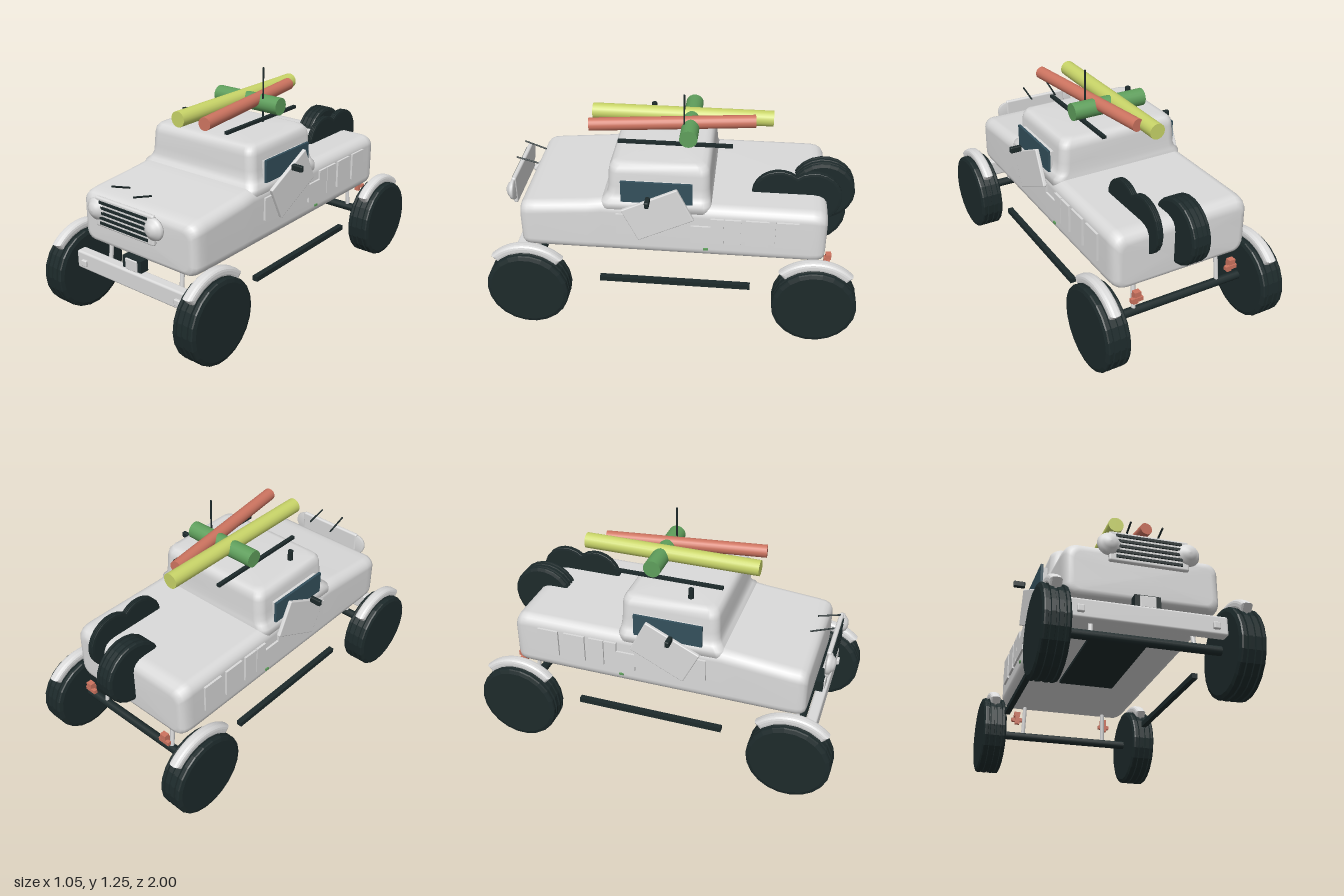
import * as THREE from 'three';
import { RoundedBoxGeometry } from 'three/addons/geometries/RoundedBoxGeometry.js';

const mat = (name, color) => {
  const m = new THREE.MeshStandardMaterial({ color });
  m.name = name;
  return m;
};

// Smooth loft of rounded rectangles stacked along z; section = [z, halfWidth, low, high, cornerRadius]
function loft(sections) {
  const pos = [], idx = [], steps = 6, n = 4 * (steps + 1);
  for (const [t, hw, lo, hi, r] of sections) {
    const corners = [[hw - r, hi - r], [-hw + r, hi - r], [-hw + r, lo + r], [hw - r, lo + r]];
    corners.forEach(([cx, cy], c) => {
      for (let k = 0; k <= steps; k++) {
        const a = (c + k / steps) * Math.PI / 2;
        pos.push(cx + r * Math.cos(a), cy + r * Math.sin(a), t);
      }
    });
  }
  const last = sections.length - 1;
  for (let i = 0; i < last; i++) for (let j = 0; j < n; j++) {
    const a = i * n + j, b = i * n + (j + 1) % n;
    idx.push(a, b, b + n, a, b + n, a + n);
  }
  for (const i of [0, last]) {
    const [t, , lo, hi] = sections[i], centre = pos.length / 3;
    pos.push(0, (lo + hi) / 2, t);
    for (let j = 0; j < n; j++) {
      const a = i * n + j, b = i * n + (j + 1) % n;
      if (i) idx.push(centre, a, b); else idx.push(centre, b, a);
    }
  }
  const g = new THREE.BufferGeometry();
  g.setAttribute('position', new THREE.Float32BufferAttribute(pos, 3));
  g.setIndex(idx);
  g.computeVertexNormals();
  return g;
}

// Tyre with two tread grooves, axle along x
function tyre(radius, width) {
  const h = width / 2, r = radius;
  const half = [[0, h], [r * 0.9, h], [r * 0.985, h * 0.9], [r, h * 0.8], [r, h * 0.62], [r * 0.96, h * 0.58],
    [r * 0.96, h * 0.46], [r, h * 0.42], [r, h * 0.12], [r * 0.97, h * 0.08]];
  const pts = [...half.map(([a, b]) => [a, -b]), ...half.reverse()].map(p => new THREE.Vector2(...p));
  const g = new THREE.LatheGeometry(pts, 22).toNonIndexed();
  g.computeVertexNormals();
  return g.rotateZ(Math.PI / 2);
}

export function createModel() {
  const root = new THREE.Group();
  root.name = 'offRoadTruck';
  const white = mat('bodyPaint', 0xdadada), dark = mat('darkRubber', 0x1d2a2b), glass = mat('windowBlue', 0x34505c);
  const green = mat('green', 0x5f9f5c), yellow = mat('yellow', 0xc8d468), red = mat('red', 0xcd7460);

  const add = (name, geo, m, x = 0, y = 0, z = 0) => {
    const mesh = new THREE.Mesh(geo, m);
    mesh.name = name;
    mesh.position.set(x, y, z);
    root.add(mesh);
    return mesh;
  };
  const box = (name, m, w, h, d, x, y, z) => add(name, new THREE.BoxGeometry(w, h, d), m, x, y, z);
  const soft = (name, m, w, h, d, x, y, z, r) => add(name, new RoundedBoxGeometry(w, h, d, 3, r), m, x, y, z);
  // Cylinder between two points
  const rod = (name, m, r, from, to, sides = 16) => {
    const a = new THREE.Vector3(...from), b = new THREE.Vector3(...to), d = b.clone().sub(a);
    const mesh = add(name, new THREE.CylinderGeometry(r, r, d.length(), sides), m);
    mesh.position.copy(a.add(b).multiplyScalar(0.5));
    mesh.quaternion.setFromUnitVectors(new THREE.Vector3(0, 1, 0), d.normalize());
    return mesh;
  };

  // Lower body with bed and sloping bonnet
  add('body', loft([
    [-0.82, 0.345, 0.45, 0.67, 0.04], [-0.815, 0.367, 0.432, 0.695, 0.05], [-0.8, 0.383, 0.424, 0.717, 0.055],
    [-0.775, 0.392, 0.42, 0.73, 0.06], [-0.74, 0.395, 0.42, 0.735, 0.06], [-0.2, 0.395, 0.42, 0.735, 0.06],
    [0.37, 0.395, 0.42, 0.74, 0.06], [0.45, 0.395, 0.42, 0.73, 0.06], [0.73, 0.395, 0.42, 0.705, 0.06],
    [0.775, 0.392, 0.42, 0.7, 0.06], [0.8, 0.383, 0.424, 0.69, 0.055], [0.815, 0.367, 0.432, 0.67, 0.05],
    [0.82, 0.345, 0.45, 0.65, 0.04]]), white);

  // Cab, lofted upwards with a flared foot and rounded roof edge
  add('cab', loft([
    [0.68, 0.392, -0.4, 0.215, 0.05], [0.735, 0.388, -0.375, 0.21, 0.05], [0.755, 0.368, -0.352, 0.205, 0.05],
    [0.78, 0.357, -0.341, 0.203, 0.05], [0.82, 0.352, -0.338, 0.2, 0.05], [0.895, 0.347, -0.334, 0.198, 0.05],
    [0.925, 0.341, -0.328, 0.192, 0.05], [0.943, 0.325, -0.312, 0.176, 0.045], [0.952, 0.295, -0.282, 0.146, 0.04],
  ]).rotateX(-Math.PI / 2), white);

  // Road wheels, mudguards, axles and shock absorbers
  const wheelGeo = tyre(0.225, 0.135);
  const arc = new THREE.Shape();
  arc.absarc(0, 0, 0.247, 0.83, Math.PI - 0.83, false);
  arc.absarc(0, 0, 0.232, Math.PI - 0.83, 0.83, true);
  const guardGeo = new THREE.ExtrudeGeometry(arc, {
    depth: 0.02, bevelEnabled: true, bevelSize: 0.02, bevelThickness: 0.02, bevelSegments: 3, curveSegments: 16,
  }).translate(0, 0, -0.01).rotateY(Math.PI / 2);
  for (const z of [0.775, -0.775]) {
    rod('axle', dark, 0.024, [-0.4, 0.236, z], [0.4, 0.236, z], 12);
    for (const s of [1, -1]) {
      add('wheel', wheelGeo, dark, s * 0.46, 0.225, z);
      add('mudguard', guardGeo, white, s * 0.46, 0.225, z);
      rod('shockAbsorber', white, 0.012, [s * 0.255, 0.24, z], [s * 0.25, 0.44, z - Math.sign(z) * 0.02]);
    }
  }

  // Spare wheels in the bed
  add('spareWheel', tyre(0.175, 0.105), dark, 0, 0.66, -0.805);
  add('spareDiscFront', tyre(0.145, 0.034), dark, 0.185, 0.72, -0.56);
  add('spareDiscRear', tyre(0.15, 0.034), dark, 0.185, 0.715, -0.745);

  // Underside plate
  box('skidPlate', dark, 0.315, 0.016, 0.615, 0, 0.405, 0.073);

  // Front bumper, winch and grille
  soft('bumper', white, 0.785, 0.1, 0.06, 0, 0.32, 0.85, 0.012);
  box('winch', dark, 0.13, 0.065, 0.05, 0, 0.403, 0.835);
  soft('winchCover', white, 0.08, 0.06, 0.012, 0, 0.4, 0.862, 0.004);
  soft('grilleFrame', white, 0.4, 0.16, 0.025, 0, 0.655, 0.888, 0.01);
  for (let i = 0; i < 5; i++) box('grilleSlat', dark, 0.33, 0.014, 0.008, 0, 0.6 + i * 0.028, 0.903);
  const lampProfile = [[0, -0.02], [0.055, -0.02], [0.06, -0.01], [0.055, 0.004], [0.045, 0.008], [0.035, 0.02],
    [0.018, 0.028], [0, 0.03]].map(p => new THREE.Vector2(...p));
  const lampGeo = new THREE.LatheGeometry(lampProfile, 24).rotateX(Math.PI / 2);

  // Wipers
  rod('wiper', dark, 0.005, [-0.085, 0.765, 0.765], [-0.085, 0.81, 0.885], 6);
  rod('wiper', dark, 0.005, [0.073, 0.765, 0.775], [0.073, 0.797, 0.895], 6);

  // Side panel rectangles: [zMin, zMax, yMin, yMax]
  const panels = [[-0.105, 0.29, 0.555, 0.68], [-0.21, -0.105, 0.525, 0.63], [-0.28, -0.21, 0.525, 0.68],
    [-0.37, -0.285, 0.525, 0.68], [-0.515, -0.395, 0.525, 0.68], [-0.67, -0.55, 0.525, 0.68]];

  for (const s of [1, -1]) {
    add('headlight', lampGeo, white, s * 0.197, 0.665, 0.9);
    soft('bumperLamp', white, 0.036, 0.036, 0.02, s * 0.33, 0.313, 0.885, 0.006);
    box('sideWindow', glass, 0.014, 0.122, 0.375, s * 0.383, 0.812, 0.075);
    box('windowMount', white, 0.03, 0.1, 0.35, s * 0.362, 0.81, 0.075);
    const door = soft('doorPanel', white, 0.022, 0.204, 0.328, s * 0.415, 0.697, 0.068, 0.006);
    door.rotation.x = 0.457;
    for (const [z0, z1, y0, y1] of panels)
      box('sidePanel', white, 0.02, y1 - y0, z1 - z0, s * 0.397, (y0 + y1) / 2, (z0 + z1) / 2);
    soft('mirror', dark, 0.064, 0.034, 0.024, s * 0.476, 0.81, 0.112, 0.006);
    box('doorHandle', green, 0.012, 0.01, 0.025, s * 0.397, 0.482, -0.187);
    box('sideRail', dark, 0.03, 0.028, 0.82, s * 0.417, 0.264, -0.022);
    box('roofRail', dark, 0.02, 0.016, 0.61, s * 0.158, 0.983, 0);

    // Rear tow hooks
    box('towHookTop', red, 0.036, 0.028, 0.03, s * 0.283, 0.402, -0.848);
    box('towHookBar', red, 0.068, 0.022, 0.02, s * 0.283, 0.367, -0.848);
    box('towHookStem', red, 0.028, 0.06, 0.02, s * 0.283, 0.365, -0.835);
  }

  // Roof load, aerial and exhaust stub
  rod('snorkel', dark, 0.015, [-0.255, 0.94, 0.16], [-0.255, 1.008, 0.16], 10);
  rod('aerial', dark, 0.005, [0.13, 0.94, -0.045], [0.13, 1.255, -0.045], 8);
  rod('greenRoll', green, 0.048, [-0.2, 1.048, -0.075], [0.226, 1.048, -0.075], 20);
  rod('yellowRoll', yellow, 0.043, [-0.027, 1.06, -0.513], [-0.027, 1.06, 0.466], 20);
  rod('redRoll', red, 0.035, [0.028, 1.068, -0.417], [0.147, 1.068, 0.46], 20);
  return root;
}
